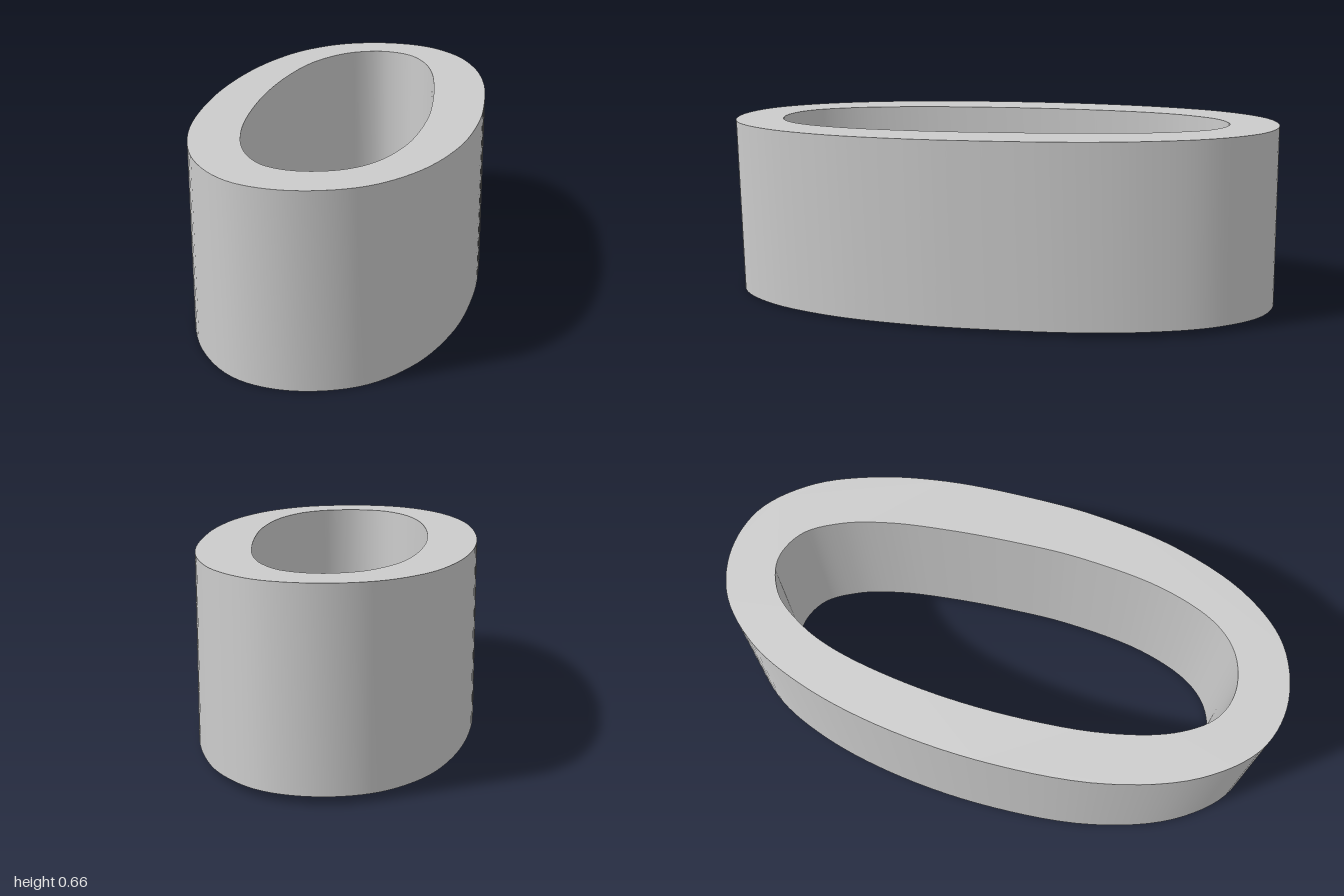
import * as THREE from 'three';
import { toCreasedNormals } from 'three/addons/utils/BufferGeometryUtils.js';

const HEIGHT = 0.638;
const TILT = 0.0125;

// Plan outlines as [x, z], clockwise seen from above, starting at the back
const OUTER = [
  [0, -0.996], [0.17, -0.955], [0.315, -0.81], [0.41, -0.6], [0.467, -0.345], [0.49, -0.03],
  [0.488, 0.2], [0.447, 0.5], [0.345, 0.77], [0.2, 0.935], [0, 0.996], [-0.18, 0.95],
  [-0.335, 0.78], [-0.447, 0.48], [-0.49, 0.08], [-0.47, -0.3], [-0.405, -0.6], [-0.31, -0.81], [-0.17, -0.95],
];
const INNER = [
  [0.005, -0.827], [0.12, -0.782], [0.2, -0.66], [0.25, -0.5], [0.282, -0.3], [0.305, -0.05], [0.312, 0.19],
  [0.28, 0.5], [0.205, 0.7], [0.115, 0.787], [-0.01, 0.817], [-0.12, 0.78], [-0.21, 0.66],
  [-0.28, 0.43], [-0.313, 0.08], [-0.302, -0.25], [-0.255, -0.53], [-0.2, -0.67], [-0.115, -0.782],
];

// Smooth closed loop through the outline points
function loop(points) {
  const curve = new THREE.CatmullRomCurve3(
    points.map(([x, z]) => new THREE.Vector3(x, -z, 0)), true, 'centripetal');
  return curve.getPoints(120).slice(0, -1).map((p) => new THREE.Vector2(p.x, p.y));
}

export function createModel() {
  const group = new THREE.Group();

  // Oval band with an open centre; the hole runs the opposite way round
  const shape = new THREE.Shape(loop(OUTER));
  shape.holes.push(new THREE.Path(loop(INNER).reverse()));
  const extruded = new THREE.ExtrudeGeometry(shape, { depth: HEIGHT, bevelEnabled: false });
  extruded.rotateX(-Math.PI / 2);
  const geometry = toCreasedNormals(extruded, Math.PI / 6);

  // Slight lean: the back sits a little higher than the front
  geometry.rotateX(TILT);
  geometry.computeBoundingBox();
  const { min, max } = geometry.boundingBox;
  geometry.translate(-(min.x + max.x) / 2, -min.y, -(min.z + max.z) / 2);

  const ring = new THREE.Mesh(geometry, new THREE.MeshStandardMaterial({ color: 0xcccccc }));
  ring.name = 'ovalRing';
  group.add(ring);
  return group;
}
